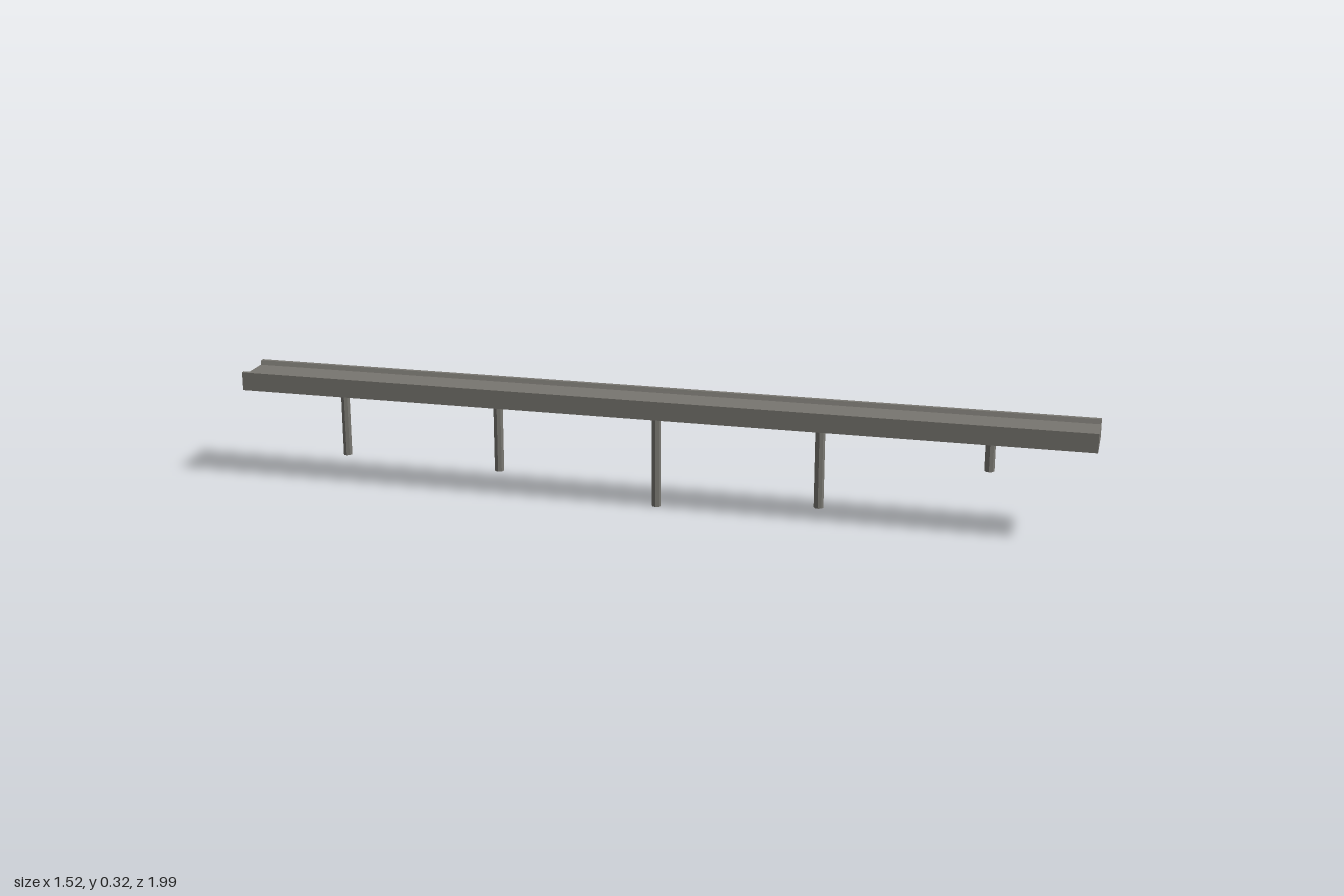
import * as THREE from 'three';

export function createModel() {
  const model = new THREE.Group();
  const concrete = new THREE.MeshStandardMaterial({ color: 0x787670 });
  concrete.name = 'concrete grey';
  concrete.flatShading = true;

  // The bridge runs along its own z axis and is turned to cross diagonally
  const bridge = new THREE.Group();
  bridge.name = 'bridge';
  bridge.rotation.y = Math.atan2(0.592, 0.806);
  model.add(bridge);

  // Deck: slab with a low kerb along each edge
  const length = 2.37, half = 0.0715, bottom = 0.268, road = 0.308, top = 0.32;
  const profile = new THREE.Shape([
    [-half, bottom], [half, bottom], [half, top], [half - 0.012, top],
    [half - 0.017, road], [-half + 0.017, road], [-half + 0.012, top], [-half, top],
  ].map(([x, y]) => new THREE.Vector2(x, y)));
  const deckGeometry = new THREE.ExtrudeGeometry(profile, { depth: length, bevelEnabled: false });
  deckGeometry.translate(0, 0, -length / 2);
  const deck = new THREE.Mesh(deckGeometry, concrete);
  deck.name = 'deck';
  bridge.add(deck);

  // Piers: evenly spaced, each reaching down to a different ground level
  const feet = [0.078, 0.066, 0, 0.034, 0.175];
  feet.forEach((foot, i) => {
    const height = bottom + 0.01 - foot;
    const pier = new THREE.Mesh(new THREE.CylinderGeometry(0.0135, 0.0135, height, 8), concrete);
    pier.name = 'pier' + (i + 1);
    pier.position.set(0, foot + height / 2, (i - 2) * 0.453);
    bridge.add(pier);
  });

  return model;
}
